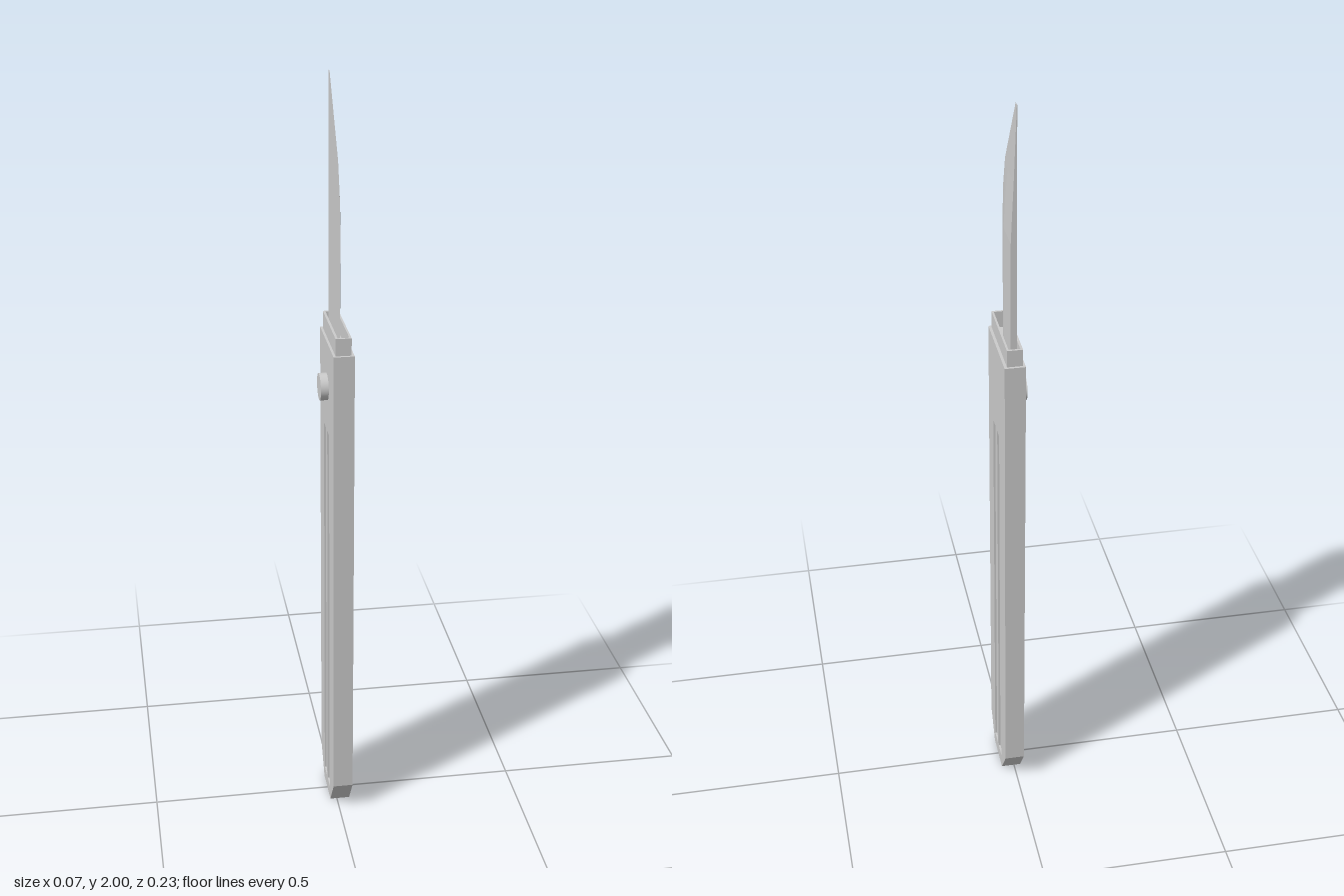
import * as THREE from 'three';

const steel = new THREE.MeshStandardMaterial({ color: 0xcccccc, flatShading: true });
const smooth = new THREE.MeshStandardMaterial({ color: 0xcccccc });

function add(group, name, geometry, material = steel) {
  const mesh = new THREE.Mesh(geometry, material);
  mesh.name = name;
  group.add(mesh);
  return mesh;
}

// Handle outline across the width (z) and up (y), with a chamfered butt
function handleShape() {
  return new THREE.Shape([
    [-0.057, 0], [0.057, 0], [0.114, 0.08], [0.114, 1.34], [-0.114, 1.34], [-0.114, 0.08],
  ].map(([z, y]) => new THREE.Vector2(z, y)));
}

// Extrude a z-y outline from x0 to x1
function slab(shape, x0, x1) {
  return new THREE.ExtrudeGeometry(shape, { depth: x1 - x0, bevelEnabled: false })
    .rotateY(Math.PI / 2).translate(x0, 0, 0);
}

function rectangle(Kind, x0, y0, x1, y1) {
  return new Kind([[x0, y0], [x1, y0], [x1, y1], [x0, y1]].map(([x, y]) => new THREE.Vector2(x, y)));
}

// Single-bevel blade lofted from wedge sections: flat left face, bevel towards the edge
function bladeGeometry() {
  const back = -0.092, x0 = 0.001;
  // height, z of cutting edge, spine thickness
  const rings = [
    [1.335, 0.095, 0.015], [1.66, 0.095, 0.015], [1.74, 0.085, 0.0115],
    [1.815, 0.06, 0.008], [2.0, -0.073, 0.001],
  ].map(([y, edge, t]) => {
    const mid = back + (edge - back) * 0.5;
    return [[x0, y, back], [x0 + t, y, back], [x0 + t, y, mid], [x0, y, edge]];
  });
  const pos = [];
  const tri = (...corners) => corners.forEach((c) => pos.push(...c));
  for (let i = 0; i < rings.length - 1; i++) {
    for (let j = 0; j < 4; j++) {
      const k = (j + 1) % 4, lo = rings[i], hi = rings[i + 1];
      tri(lo[j], hi[j], hi[k]);
      tri(lo[j], hi[k], lo[k]);
    }
  }
  const b = rings[0], t = rings[rings.length - 1];
  tri(b[0], b[1], b[2]);
  tri(b[0], b[2], b[3]);
  tri(t[0], t[2], t[1]);
  tri(t[0], t[3], t[2]);
  const geometry = new THREE.BufferGeometry();
  geometry.setAttribute('position', new THREE.Float32BufferAttribute(pos, 3));
  geometry.computeVertexNormals();
  return geometry;
}

export function createModel() {
  const model = new THREE.Group();
  model.name = 'craftKnife';

  // Handle: solid core between two thin plates with a pair of long grooves
  const handle = new THREE.Group();
  handle.name = 'handle';
  model.add(handle);
  const left = -0.018, right = 0.035, groove = 0.005;
  add(handle, 'handleCore', slab(handleShape(), left + groove, right - groove));
  for (const [name, x] of [['rightGroovedPlate', left], ['leftGroovedPlate', right - groove]]) {
    const plate = handleShape();
    plate.holes.push(rectangle(THREE.Path, -0.05, 0.035, -0.006, 1.1));
    plate.holes.push(rectangle(THREE.Path, 0.006, 0.035, 0.05, 1.1));
    add(handle, name, slab(plate, x, x + groove));
  }

  // Hollow collar at the mouth of the handle
  const rim = rectangle(THREE.Shape, -0.012, -0.107, 0.028, 0.107);
  rim.holes.push(rectangle(THREE.Path, -0.006, -0.101, 0.023, 0.101));
  add(model, 'collar', new THREE.ExtrudeGeometry(rim, { depth: 0.045, bevelEnabled: false })
    .rotateX(-Math.PI / 2).translate(0, 1.34, 0));

  add(model, 'blade', bladeGeometry());

  // Round locking knob on the right side
  const knob = add(model, 'lockingKnob', new THREE.CylinderGeometry(0.035, 0.035, 0.022, 32), smooth);
  knob.rotation.z = Math.PI / 2;
  knob.position.set(-0.027, 1.22, 0);

  return model;
}
